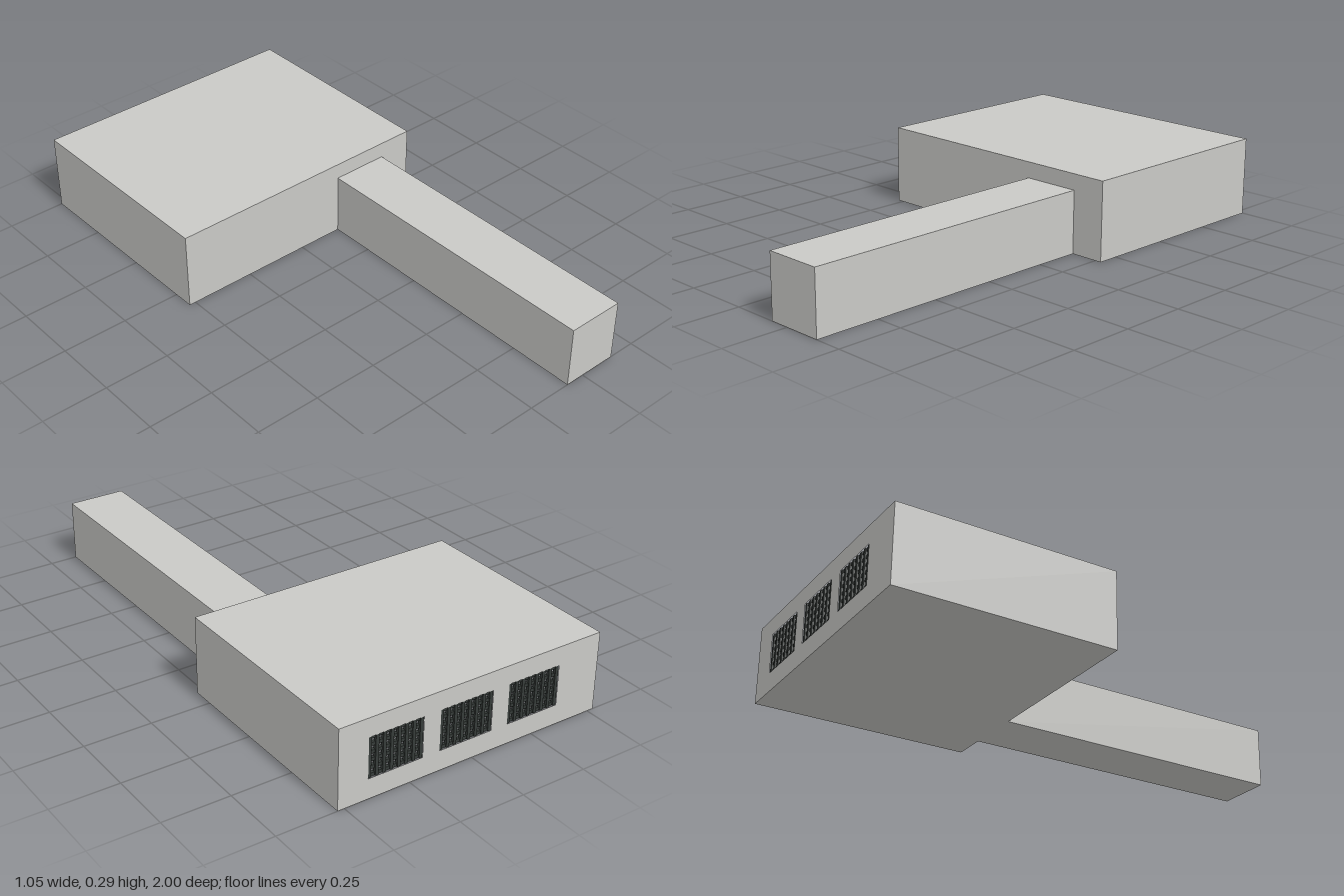
import * as THREE from 'three';

const wallGrey = new THREE.MeshStandardMaterial({ color: 0xc9c9c6 });
wallGrey.name = 'wallGrey';
const grilleDark = new THREE.MeshStandardMaterial({ color: 0x363c39 });
grilleDark.name = 'grilleDark';

const HALL = { w: 1.05, h: 0.295, back: -1, front: -0.17 };
const WINDOW = { w: 0.21, h: 0.15, y: 0.15, xs: [0.307, 0.03, -0.247] };

function box(name, w, h, d, x, y, z, material) {
  const mesh = new THREE.Mesh(new THREE.BoxGeometry(w, h, d), material);
  mesh.name = name;
  mesh.position.set(x, y, z);
  return mesh;
}

function panel(name, w, h, position, rotation) {
  const mesh = new THREE.Mesh(new THREE.PlaneGeometry(w, h), wallGrey);
  mesh.name = name;
  mesh.position.set(...position);
  mesh.rotation.set(...rotation);
  return mesh;
}

// Rear wall with three rectangular window openings, facing -z
function rearWall() {
  const shape = new THREE.Shape();
  const a = HALL.w / 2;
  shape.moveTo(-a, 0).lineTo(a, 0).lineTo(a, HALL.h).lineTo(-a, HALL.h).closePath();
  for (const x of WINDOW.xs) {
    const l = -x - WINDOW.w / 2, r = -x + WINDOW.w / 2;
    const b = WINDOW.y - WINDOW.h / 2, t = WINDOW.y + WINDOW.h / 2;
    const hole = new THREE.Path();
    hole.moveTo(l, b).lineTo(l, t).lineTo(r, t).lineTo(r, b).closePath();
    shape.holes.push(hole);
  }
  const mesh = new THREE.Mesh(new THREE.ShapeGeometry(shape), wallGrey);
  mesh.name = 'rearWall';
  mesh.rotation.y = Math.PI;
  mesh.position.z = HALL.back;
  return mesh;
}

// Lattice of upright and level bars filling one window
function windowGrille(x) {
  const grille = new THREE.Group();
  grille.name = 'windowGrille';
  const bar = 0.012, columns = 8, rows = 6;
  for (let i = 0; i < columns; i++) {
    const px = (i / (columns - 1) - 0.5) * (WINDOW.w - bar);
    grille.add(box('uprightBar', bar, WINDOW.h, bar, px, 0, 0, grilleDark));
  }
  for (let i = 0; i < rows; i++) {
    const py = (i / (rows - 1) - 0.5) * (WINDOW.h - bar);
    grille.add(box('levelBar', WINDOW.w, bar, bar, 0, py, 0.004, grilleDark));
  }
  grille.position.set(x, WINDOW.y, HALL.back + 0.008);
  return grille;
}

export function createModel() {
  const model = new THREE.Group();
  model.name = 'hallWithCorridor';

  // Hall shell
  const hall = new THREE.Group();
  hall.name = 'hall';
  const depth = HALL.front - HALL.back;
  const midZ = (HALL.front + HALL.back) / 2;
  const q = Math.PI / 2;
  hall.add(
    rearWall(),
    panel('frontWall', HALL.w, HALL.h, [0, HALL.h / 2, HALL.front], [0, 0, 0]),
    panel('leftWall', depth, HALL.h, [HALL.w / 2, HALL.h / 2, midZ], [0, q, 0]),
    panel('rightWall', depth, HALL.h, [-HALL.w / 2, HALL.h / 2, midZ], [0, -q, 0]),
    panel('roof', HALL.w, depth, [0, HALL.h, midZ], [-q, 0, 0]),
    panel('floor', HALL.w, depth, [0, 0, midZ], [q, 0, 0])
  );
  for (const x of WINDOW.xs) hall.add(windowGrille(x));
  model.add(hall);

  // Long corridor leading to the front
  const length = 1 - HALL.front;
  model.add(box('corridor', 0.22, 0.235, length, 0.285, 0.1175, HALL.front + length / 2, wallGrey));
  return model;
}
